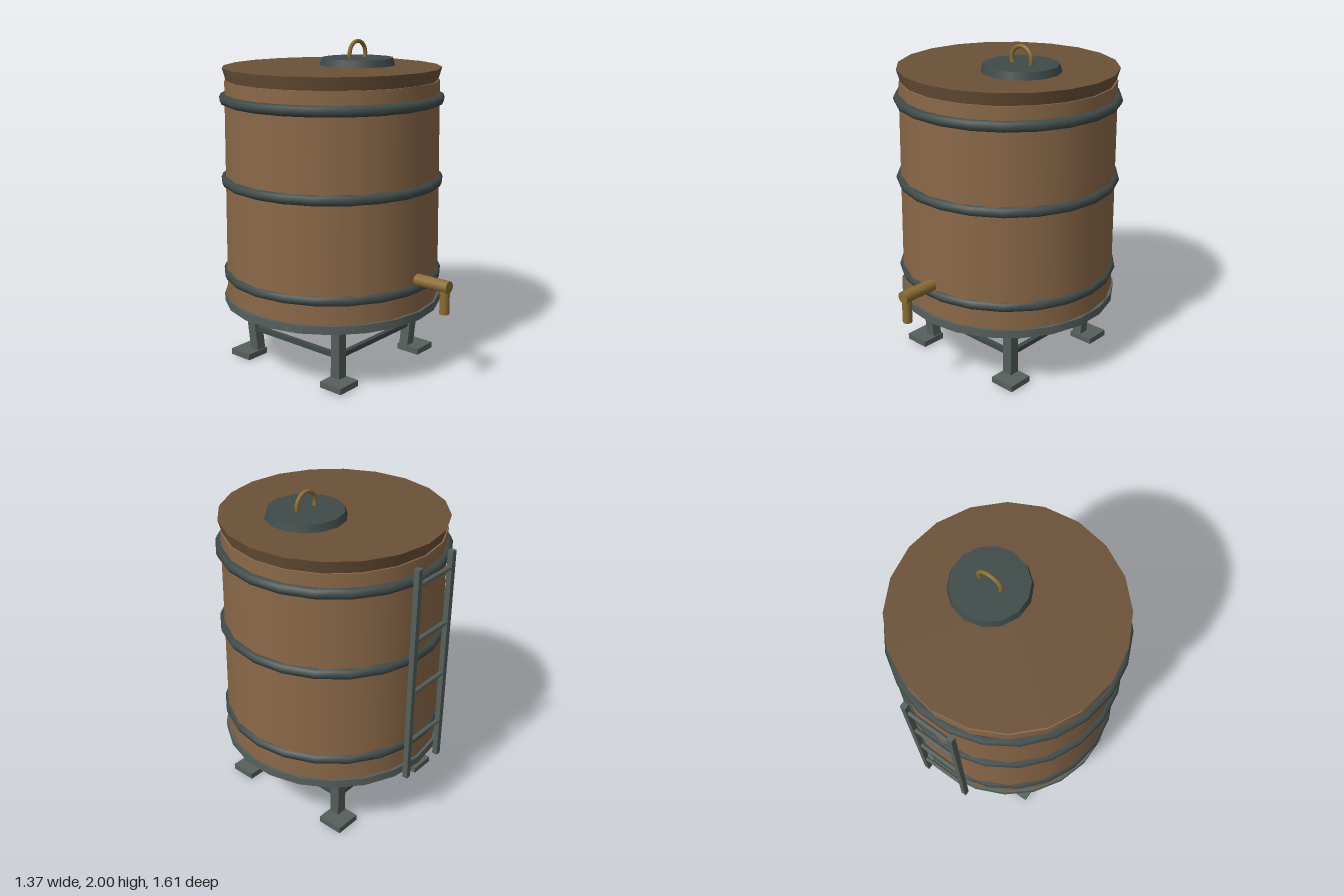
import * as THREE from 'three';

const mat = (color) => new THREE.MeshStandardMaterial({ color });

export function createModel() {
  const model = new THREE.Group();
  const wood = mat(0x8a6848), darkWood = mat(0x6b5138);
  const iron = mat(0x3f4a48), steel = mat(0x56605c), brass = mat(0x8a6c34);
  const Z = -0.08; // barrel axis

  function add(name, geometry, material, x, y, z) {
    const mesh = new THREE.Mesh(geometry, material);
    mesh.name = name;
    mesh.position.set(x, y, z);
    model.add(mesh);
    return mesh;
  }
  const box = (w, h, d) => new THREE.BoxGeometry(w, h, d);
  const cyl = (top, bottom, h, n) => new THREE.CylinderGeometry(top, bottom, h, n);

  // Barrel: slightly tapered body, flared lid, base plate
  add('barrelBody', cyl(0.648, 0.665, 1.33, 20), wood, 0, 1.105, Z);
  add('barrelLid', cyl(0.66, 0.638, 0.075, 20), darkWood, 0, 1.807, Z);
  add('basePlate', cyl(0.68, 0.68, 0.05, 22), steel, 0, 0.418, Z);

  // Hoops
  for (const y of [0.585, 1.168, 1.66]) {
    add('hoop', new THREE.TorusGeometry(0.651, 0.032, 8, 22), iron, 0, y, Z).rotation.x = Math.PI / 2;
  }

  // Hatch with ring handle
  add('hatch', cyl(0.222, 0.235, 0.045, 14), iron, 0.163, 1.866, -0.015);
  add('hatchHandle', new THREE.TorusGeometry(0.075, 0.0125, 8, 24), brass, 0.163, 1.9125, -0.015);

  // Spigot
  add('spigotPipe', cyl(0.037, 0.037, 0.25, 12), brass, 0, 0.64, 0.68).rotation.x = Math.PI / 2;
  add('spigotSpout', cyl(0.029, 0.029, 0.17, 12), brass, 0, 0.56, 0.775);

  // Legs lean inward toward the ground, each on a square foot
  const up = new THREE.Vector3(0, 1, 0);
  for (const sx of [-1, 1]) for (const sz of [-1, 1]) {
    const top = new THREE.Vector3(sx * 0.364, 0.41, Z + sz * 0.364);
    const foot = new THREE.Vector3(sx * 0.338, 0.005, Z + sz * 0.338);
    const dir = top.clone().sub(foot);
    const mid = top.clone().add(foot).multiplyScalar(0.5);
    const leg = add('leg', box(0.064, dir.length(), 0.064), steel, mid.x, mid.y, mid.z);
    leg.quaternion.setFromUnitVectors(up, dir.normalize());
    add('foot', box(0.16, 0.038, 0.16), steel, sx * 0.38, 0.027, Z + sz * 0.38);
  }

  // Braces between the legs
  for (const s of [-1, 1]) {
    add('sideBrace', box(0.03, 0.03, 0.68), iron, s * 0.35, 0.186, Z);
    add('crossBrace', box(0.68, 0.03, 0.03), iron, 0, 0.186, Z + s * 0.35);
  }

  // Ladder on the back
  for (const s of [-1, 1]) {
    add('ladderRail', box(0.033, 1.37, 0.033), steel, s * 0.15, 1.085, -0.788);
  }
  for (let i = 0; i < 4; i++) {
    add('ladderRung', cyl(0.014, 0.014, 0.3, 8), steel, 0, 0.65 + i * 0.34, -0.788).rotation.z = Math.PI / 2;
  }
  return model;
}
